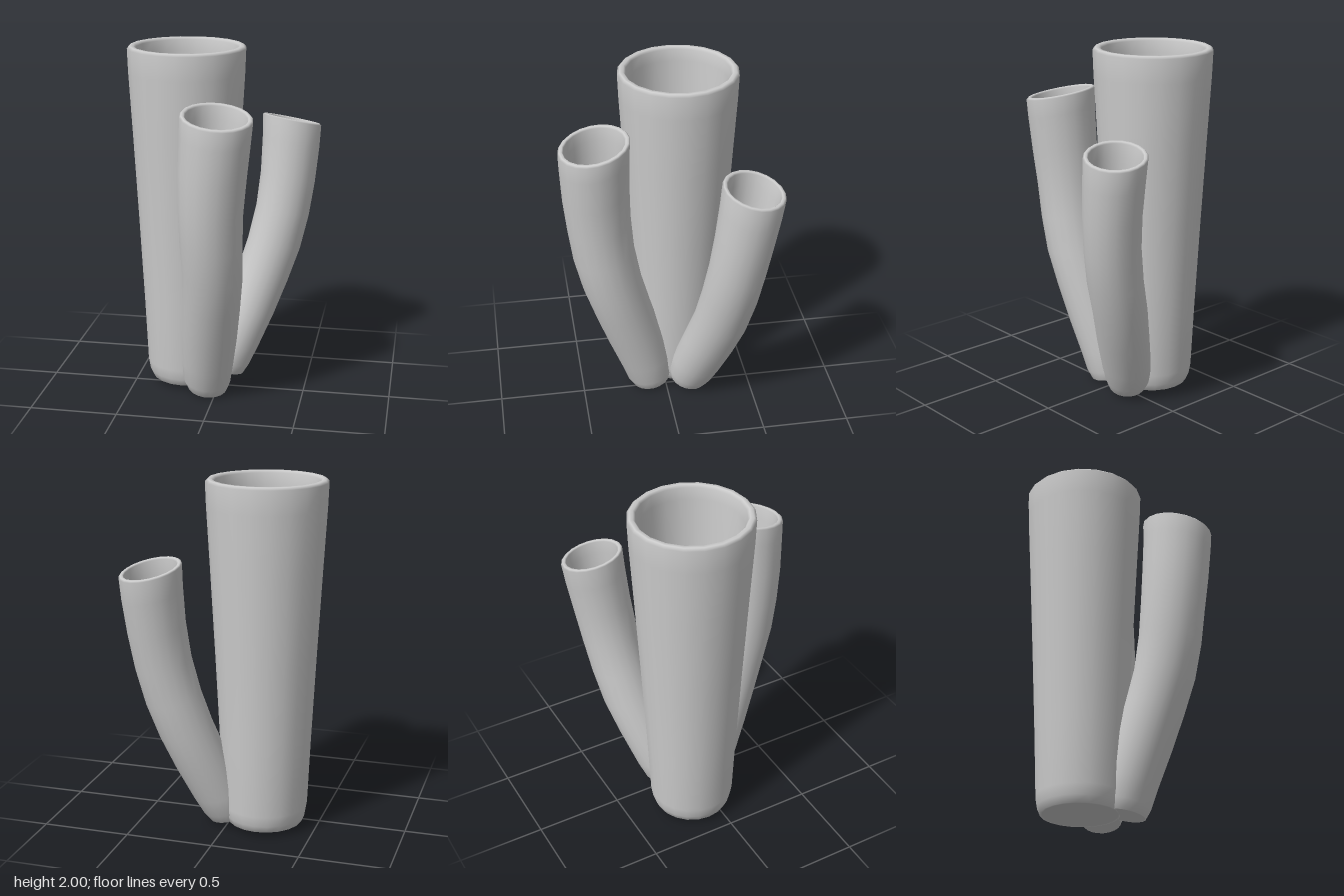
import * as THREE from 'three';

const SIDES = 20;
const material = new THREE.MeshStandardMaterial({ color: 0xcccccc });

// Skin a stack of rings [x, y, z, radius]; tilt shears every ring along x and z
function skin(rings, [tiltX, tiltZ]) {
  const pos = [], index = [];
  rings.forEach(([x, y, z, r], i) => {
    for (let j = 0; j < SIDES; j++) {
      const a = (j / SIDES) * Math.PI * 2;
      const dx = r * Math.cos(a), dz = r * Math.sin(a);
      pos.push(x + dx, y - tiltX * dx - tiltZ * dz, z + dz);
      if (i === rings.length - 1) continue;
      const k = (j + 1) % SIDES;
      const p = i * SIDES + j, q = i * SIDES + k;
      if (r > 0) index.push(p, p + SIDES, q);
      if (rings[i + 1][3] > 0) index.push(q, p + SIDES, q + SIDES);
    }
  });
  const geo = new THREE.BufferGeometry();
  geo.setAttribute('position', new THREE.Float32BufferAttribute(pos, 3));
  geo.setIndex(index);
  geo.computeVertexNormals();
  return geo;
}

// Hollow vessel: closed foot, outer wall along the stations, rounded lip, inner wall, floor
function vessel(name, stations, floorY, wall, tilt = [0, 0]) {
  const [bx, by, bz, br] = stations[0];
  const [tx, ty, tz, tr] = stations[stations.length - 1];
  const at = (y) => {
    const i = Math.max(1, stations.findIndex((s) => s[1] >= y));
    const a = stations[i - 1], b = stations[i];
    const t = (y - a[1]) / (b[1] - a[1]);
    return a.map((v, n) => v + (b[n] - v) * t);
  };
  const inner = (y, inset) => {
    const [x, , z, r] = at(y);
    return [x, y, z, r - inset];
  };
  const lip = wall * 0.3;
  const rings = [
    [bx, by, bz, 0], [bx, by, bz, br * 0.95],
    ...stations.slice(0, -1),
    [tx, ty - lip, tz, tr],
    [tx, ty, tz, tr - lip],
    [tx, ty, tz, tr - wall * 0.75],
    [tx, ty - lip, tz, tr - wall],
  ];
  const steps = 4, start = ty - 0.08;
  for (let i = 0; i <= steps; i++) {
    rings.push(inner(start + (floorY + 0.06 - start) * (i / steps), wall * 1.1));
  }
  rings.push(inner(floorY + 0.02, wall * 1.5));
  const [fx, , fz, fr] = inner(floorY, wall * 2.2);
  rings.push([fx, floorY, fz, fr], [fx, floorY, fz, 0]);
  const mesh = new THREE.Mesh(skin(rings, tilt), material);
  mesh.name = name;
  return mesh;
}

export function createModel() {
  const group = new THREE.Group();
  group.name = 'tubeCluster';

  // Tall straight vessel
  group.add(vessel('mainTube', [
    [-0.2, 0.03, -0.1, 0.215],
    [-0.2, 0.07, -0.1, 0.232],
    [-0.2, 0.13, -0.1, 0.242],
    [-0.2, 0.5, -0.1, 0.258],
    [-0.2, 1.0, -0.1, 0.283],
    [-0.2, 1.5, -0.1, 0.31],
    [-0.2, 1.85, -0.1, 0.33],
    [-0.2, 2.0, -0.1, 0.335],
  ], 1.15, 0.046));

  // Bent tube leaning forward
  group.add(vessel('frontTube', [
    [-0.055, 0.025, 0.085, 0.115],
    [-0.055, 0.08, 0.095, 0.137],
    [-0.045, 0.2, 0.125, 0.148],
    [-0.022, 0.4, 0.19, 0.158],
    [0.0, 0.6, 0.255, 0.163],
    [0.018, 0.8, 0.315, 0.168],
    [0.018, 1.0, 0.358, 0.173],
    [0.02, 1.2, 0.38, 0.178],
    [0.032, 1.4, 0.393, 0.186],
    [0.048, 1.6, 0.398, 0.192],
    [0.054, 1.71, 0.397, 0.196],
  ], 1.25, 0.03, [0.1, 0.17]));

  // Bent tube leaning back and outward
  group.add(vessel('backTube', [
    [0.015, 0.045, -0.135, 0.105],
    [0.025, 0.1, -0.15, 0.128],
    [0.06, 0.2, -0.178, 0.14],
    [0.138, 0.4, -0.235, 0.148],
    [0.21, 0.6, -0.288, 0.152],
    [0.275, 0.8, -0.32, 0.155],
    [0.32, 1.0, -0.348, 0.156],
    [0.345, 1.2, -0.375, 0.16],
    [0.357, 1.4, -0.402, 0.167],
    [0.36, 1.537, -0.417, 0.171],
  ], 1.12, 0.027, [0.17, -0.19]));

  return group;
}
